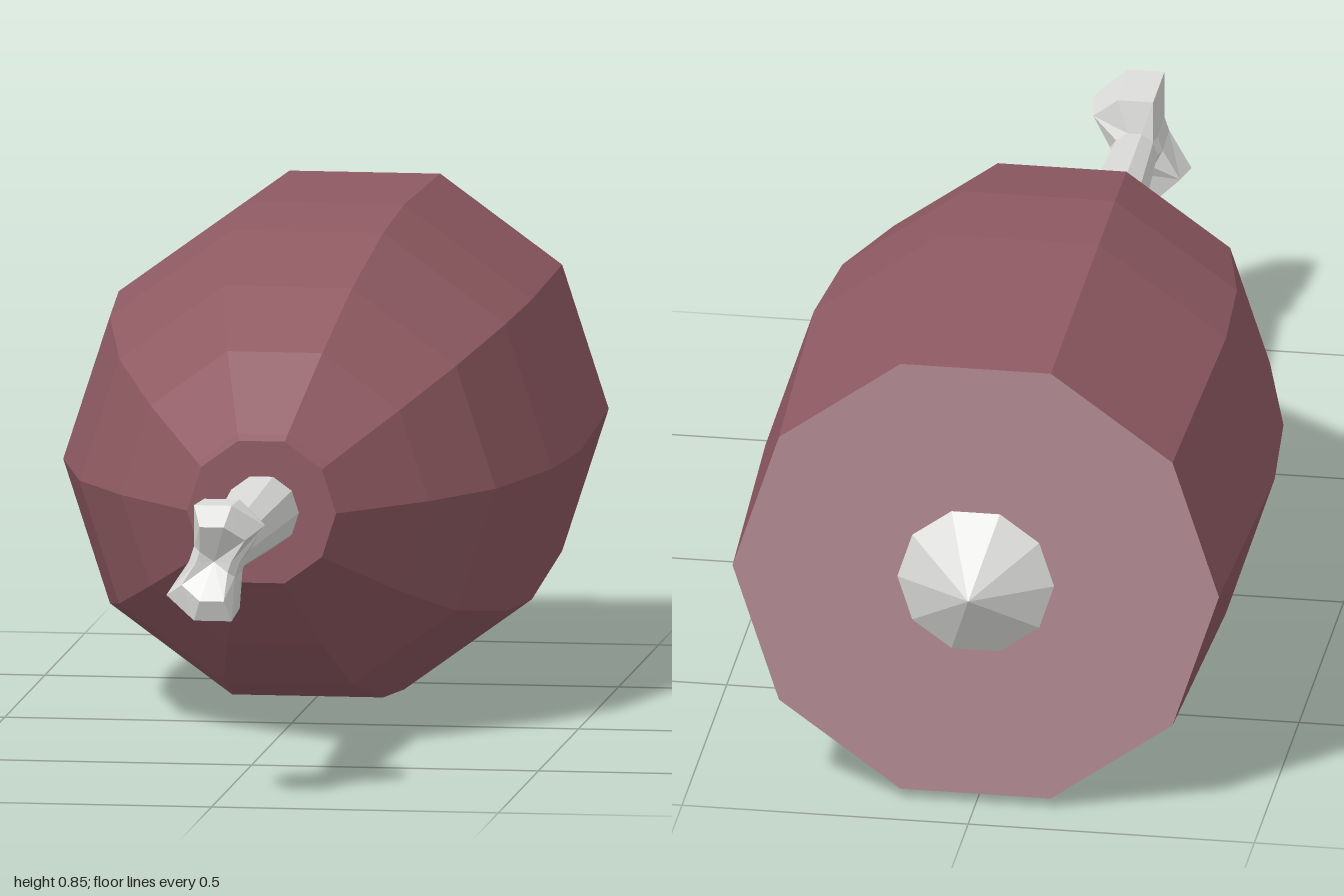
import * as THREE from 'three';

const SIDES = 10;
const CENTRE_Y = 0.423;

// Ten-sided turned solid along z, from [radius, z] pairs running back to front
function turned(profile) {
  const geo = new THREE.LatheGeometry(
    profile.map(([r, z]) => new THREE.Vector2(r, z)), SIDES, Math.PI / 2);
  return geo.rotateX(Math.PI / 2);
}

// Separate the facets so each has its own flat normal
function faceted(geo) {
  const flat = geo.toNonIndexed();
  flat.computeVertexNormals();
  return flat;
}

// Pull three neighbouring corners on each of two opposite sides into knuckles
function pullKnuckles(geo) {
  const p = geo.attributes.position;
  for (let i = 0; i < p.count; i++) {
    const x = p.getX(i), y = p.getY(i), z = p.getZ(i);
    if (z < 0.87 || Math.hypot(x, y) < 0.01) continue;
    const a = Math.atan2(y, x);
    const step = (Math.round(a / (Math.PI / 5)) + 10) % 5; // repeats on the opposite side
    if (step < 1 || step > 3) continue;
    const side = step === 1;
    let r, newZ;
    if (z < 0.9) { // back of the knuckle
      r = side ? 0.094 : 0.1;
      newZ = side ? 0.885 : 0.87;
    } else if (z < 0.972) { // outer front rim
      r = 0.106;
      newZ = side ? 0.95 : 0.985;
    } else { // rounded front
      r = 0.068;
      newZ = side ? 0.98 : 1.0;
    }
    p.setXYZ(i, r * Math.cos(a), r * Math.sin(a), newZ);
  }
  return geo;
}

export function createModel() {
  const model = new THREE.Group();
  const meat = new THREE.MeshStandardMaterial({ color: 0x8f5a62 });
  meat.name = 'roast meat';
  const cut = new THREE.MeshStandardMaterial({ color: 0xb18a92 });
  cut.name = 'cut meat';
  const bone = new THREE.MeshStandardMaterial({ color: 0xdcdcda });
  bone.name = 'bone';

  function add(name, geo, material) {
    const mesh = new THREE.Mesh(faceted(geo), material);
    mesh.name = name;
    mesh.position.y = CENTRE_Y;
    model.add(mesh);
  }

  // Meat body with its small closed front
  add('meatBody', turned([
    [0.425, -0.915], [0.445, -0.42], [0.426, -0.2], [0.363, 0.05],
    [0.268, 0.21], [0.141, 0.362], [0.13, 0.376], [0, 0.376],
  ]), meat);

  // Flat slice at the back
  add('cutFace', turned([[0, -0.915], [0.425, -0.915]]), cut);

  // Bone tip showing through the slice
  add('boneTip', turned([[0, -1], [0.137, -0.915]]), bone);

  // Tapering shaft with a split knuckle at its end
  add('boneHandle', pullKnuckles(turned([
    [0.066, 0.36], [0.04, 0.86], [0.046, 0.88], [0.044, 0.965],
    [0.03, 0.975], [0, 0.968],
  ])), bone);

  return model;
}
